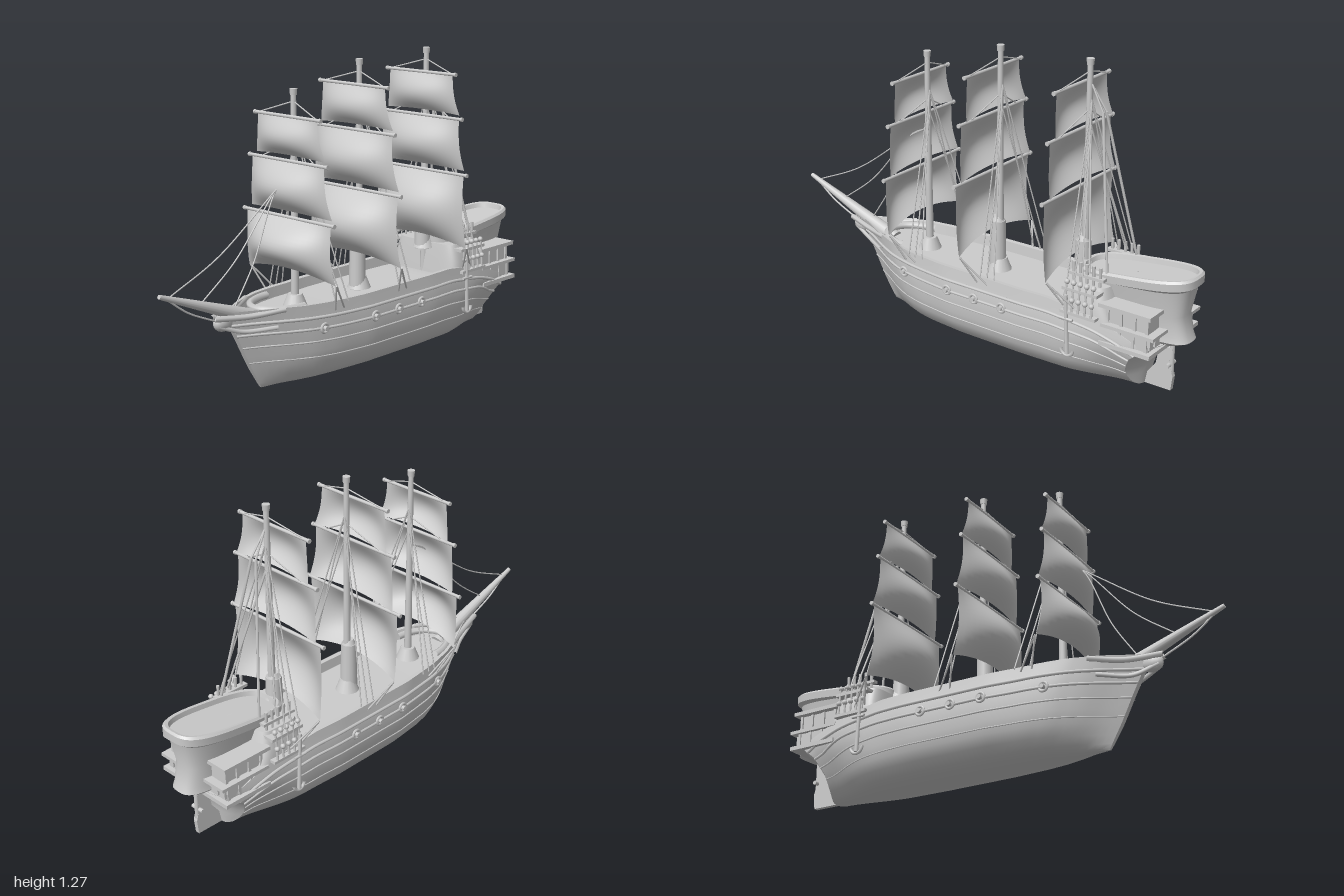
import * as THREE from 'three';
import { toCreasedNormals } from 'three/addons/utils/BufferGeometryUtils.js';

const mat = new THREE.MeshStandardMaterial({ color: 0xcccccc });
const thin = new THREE.MeshStandardMaterial({ color: 0xcccccc, side: THREE.DoubleSide });
const V = (x, y, z) => new THREE.Vector3(x, y, z);
const { lerp, smoothstep } = THREE.MathUtils;

// linear lookup in a [[t, value], ...] table
function look(table, t) {
  for (let i = 1; i < table.length; i++) {
    const [a, p] = table[i - 1], [b, q] = table[i];
    if (t <= b) return lerp(p, q, Math.max(0, (t - a) / (b - a)));
  }
  return table[table.length - 1][1];
}

function add(parent, name, geometry, material = mat) {
  const m = new THREE.Mesh(geometry, material);
  m.name = name;
  parent.add(m);
  return m;
}

// skin over rows of points; faces point along (column step x row step)
function skin(rows, crease) {
  const n = rows[0].length, index = [];
  for (let i = 0; i < rows.length - 1; i++)
    for (let j = 0; j < n - 1; j++) {
      const a = i * n + j, b = a + n;
      index.push(a, a + 1, b, b, a + 1, b + 1);
    }
  const g = new THREE.BufferGeometry().setFromPoints(rows.flat());
  g.setIndex(index);
  g.computeVertexNormals();
  return crease ? toCreasedNormals(g, crease) : g;
}

// straight tapered spar or rope
function rod(parent, name, a, b, r1, r2 = r1, sides = 10) {
  const m = add(parent, name, new THREE.CylinderGeometry(r2, r1, a.distanceTo(b), sides));
  m.position.copy(a).lerp(b, 0.5);
  m.quaternion.setFromUnitVectors(V(0, 1, 0), b.clone().sub(a).normalize());
  return m;
}
const rope = (p, a, b, r = 0.0028) => rod(p, 'rope', a, b, r, r, 5);

// box given by its limits
function box(parent, name, x0, x1, y0, y1, z0, z1) {
  const m = add(parent, name, new THREE.BoxGeometry(x1 - x0, y1 - y0, Math.abs(z1 - z0)));
  m.position.set((x0 + x1) / 2, (y0 + y1) / 2, (z0 + z1) / 2);
}

function curveTube(parent, name, pts, r, seg = 24) {
  add(parent, name, new THREE.TubeGeometry(new THREE.CatmullRomCurve3(pts), seg, r, 6));
}

// Hull shape rules: rake of the ends by height, beam and sheer by station
const STEM = [[0, -0.5], [0.1, -0.56], [0.2, -0.61], [0.35, -0.69]];
const STERN = [[0, 0.79], [0.1, 0.81], [0.17, 0.85], [0.22, 0.91]];
const BEAM = [[0, 0.012], [0.05, 0.05], [0.11, 0.105], [0.177, 0.152], [0.24, 0.176], [0.37, 0.2], [0.62, 0.205], [0.81, 0.19], [1, 0.17]];
const SHEER = [[0, 0.345], [0.1, 0.345], [0.3, 0.335], [0.7, 0.335], [0.82, 0.31], [0.9, 0.27], [1, 0.225]];
function hullPoint(s, w, h, side = 1) {
  const y = h * look(SHEER, s);
  const skeg = 1 - 0.5 * smoothstep(s, 0.75, 1) * Math.max(0, 1 - h * 1.15);
  const round = 0.045 * w * w * smoothstep(s, 0.85, 1);
  return V(lerp(look(STEM, y), look(STERN, y), s) - round, y, side * w * skeg * look(BEAM, s));
}

function buildHull(g) {
  const half = [[0, 0.87], [0.84, 0.87], [0.86, 1], [0.96, 1.005], [0.985, 0.88], [0.99, 0.86], [1.02, 0.74], [1.015, 0.58],
    [0.99, 0.42], [0.93, 0.27], [0.82, 0.15], [0.66, 0.06], [0.48, 0.015], [0.3, 0], [0, 0]];
  const ring = [...half.map(p => [...p, 1]), ...half.slice(0, -1).reverse().map(p => [...p, -1])];
  const station = (s, f = 1) => ring.map(([w, h, k]) => hullPoint(s, w * f, h, k));
  const rows = [station(0, 0)];
  for (let i = 0; i <= 44; i++) rows.push(station(i / 44));
  // rounded stern closing towards the centre line
  for (const f of [0.8, 0.6, 0.4, 0.2, 0]) rows.push(station(1, f));
  add(g, 'hull', skin(rows, 0.7), thin);
  for (const k of [1, -1]) {
    // wales along the planking
    for (const [w, h, r] of [[1.01, 0.84, 0.007], [1.025, 0.7, 0.006], [1.01, 0.54, 0.004], [0.96, 0.34, 0.003]]) {
      const pts = [];
      for (let i = 0; i <= 24; i++) pts.push(hullPoint(i / 24, w, h, k));
      curveTube(g, 'wale', pts, r, 60);
    }
    // round gun ports
    for (const x of [-0.31, -0.05, 0.09, 0.23]) {
      const p = hullPoint((x + 0.64) / 1.54, 1.03, 0.72, k);
      const port = new THREE.Group();
      port.name = 'gunPort';
      port.position.set(x, 0.238, p.z);
      add(port, 'portRing', new THREE.TorusGeometry(0.018, 0.006, 6, 16));
      rod(port, 'gunBarrel', V(0, 0, -0.01 * k), V(0, 0, 0.014 * k), 0.009);
      g.add(port);
    }
    // head rails meeting at the beak
    curveTube(g, 'headRail', [V(-0.74, 0.335, 0.012 * k), V(-0.6, 0.325, 0.055 * k), V(-0.47, 0.338, 0.115 * k)], 0.012);
    curveTube(g, 'lowerHeadRail', [V(-0.72, 0.3, 0.01 * k), V(-0.62, 0.265, 0.035 * k), V(-0.5, 0.27, 0.105 * k)], 0.009);
  }
  // forecastle coaming
  const arc = [];
  for (let i = 0; i <= 16; i++) {
    const a = Math.PI * (0.5 + i / 16);
    arc.push(V(-0.36 + 0.16 * Math.cos(a), 0.328, 0.11 * Math.sin(a)));
  }
  curveTube(g, 'forecastleCoaming', arc, 0.016, 32);
  // bowsprit, beak and stays
  rod(g, 'bowsprit', V(-0.5, 0.285, 0), V(-0.995, 0.475, 0), 0.034, 0.009, 14);
  const knob = add(g, 'beak', new THREE.SphereGeometry(0.035, 14, 10));
  knob.position.set(-0.69, 0.31, 0);
  knob.scale.set(1.3, 1, 0.75);
  curveTube(g, 'bobstay', [V(-0.95, 0.45, 0), V(-0.86, 0.385, 0), V(-0.72, 0.32, 0)], 0.004);
  // rudder with its iron fittings
  const s = new THREE.Shape([[0.77, 0], [0.905, 0], [0.912, 0.06], [0.895, 0.12], [0.905, 0.18], [0.85, 0.187], [0.835, 0.1], [0.79, 0.04]].map(p => new THREE.Vector2(...p)));
  add(g, 'rudder', new THREE.ExtrudeGeometry(s, { depth: 0.02, bevelEnabled: false })).position.z = -0.01;
  rod(g, 'rudderFitting', V(0.895, 0.11, -0.03), V(0.895, 0.11, 0.03), 0.009);
  rod(g, 'rudderPost', V(0.9, 0.05, 0), V(0.9, 0.2, 0), 0.01);
}

// rounded deckhouse from levels [y, xFront, xStern, halfWidth, slope]
function house(g, name, levels, power) {
  const pw = v => Math.sign(v) * Math.pow(Math.abs(v), power);
  const rows = levels.map(([y, x0, x1, w, slope]) => Array.from({ length: 49 }, (_, j) => {
    const a = j / 48 * Math.PI * 2, x = (x0 + x1) / 2 + (x1 - x0) / 2 * pw(Math.cos(a));
    return V(x, y + slope * (x - 0.66), -w * pw(Math.sin(a)));
  }));
  add(g, name, skin(rows, 0.6), thin);
}

function buildStern(g) {
  house(g, 'quarterdeck', [[0.25, 0.47, 0.74, 0.182, 0], [0.35, 0.48, 0.7, 0.178, 0], [0.42, 0.49, 0.68, 0.155, 0],
    [0.42, 0.58, 0.6, 0.001, 0]], 0.35);
  house(g, 'sternCabin', [[0.215, 0.7, 0.8, 0.001, 0], [0.215, 0.6, 0.945, 0.068, 0], [0.235, 0.58, 0.985, 0.082, 0],
    [0.26, 0.56, 0.975, 0.08, 0], [0.34, 0.53, 0.957, 0.09, 0], [0.43, 0.5, 0.98, 0.107, 0.08], [0.434, 0.49, 1, 0.118, 0.11],
    [0.465, 0.49, 1, 0.12, 0.11], [0.474, 0.5, 0.992, 0.112, 0.11], [0.472, 0.515, 0.98, 0.1, 0.11],
    [0.452, 0.52, 0.975, 0.096, 0.11], [0.452, 0.7, 0.75, 0.001, 0.11]], 0.65);
  box(g, 'sternLedge', 0.68, 0.905, 0.205, 0.222, -0.19, 0.19);
  for (const k of [1, -1]) {
    // two-storey quarter gallery
    box(g, 'galleryRoof', 0.67, 0.9, 0.36, 0.376, 0.07 * k, 0.182 * k);
    box(g, 'upperGallery', 0.69, 0.88, 0.29, 0.36, 0.07 * k, 0.155 * k);
    box(g, 'galleryLedge', 0.68, 0.915, 0.28, 0.294, 0.07 * k, 0.182 * k);
    box(g, 'lowerGallery', 0.7, 0.885, 0.222, 0.28, 0.07 * k, 0.166 * k);
    for (const x of [0.7, 0.76, 0.82, 0.875])
      for (const [y0, y1, z] of [[0.294, 0.36, 0.162], [0.222, 0.28, 0.171]]) box(g, 'galleryPost', x - 0.006, x + 0.006, y0, y1, 0.1 * k, z * k);
    for (const z of [0.115, 0.155]) box(g, 'sternWindow', 0.88, 0.893, 0.232, 0.272, (z - 0.014) * k, (z + 0.01) * k);
    // mizzen channel with deadeyes, struts and pins
    box(g, 'channel', 0.51, 0.67, 0.395, 0.408, 0.14 * k, 0.195 * k);
    box(g, 'lowerChannel', 0.51, 0.67, 0.3, 0.312, 0.16 * k, 0.205 * k);
    box(g, 'pinRail', 0.51, 0.67, 0.445, 0.457, 0.125 * k, 0.15 * k);
    for (let i = 0; i < 5; i++) {
      const x = 0.53 + i * 0.03;
      rod(g, 'pin', V(x, 0.41, 0.14 * k), V(x, 0.5, 0.14 * k), 0.005, 0.007, 6);
      rod(g, 'strut', V(x, 0.305, 0.2 * k), V(x, 0.43, 0.19 * k), 0.005, 0.004, 6);
      for (const [y, z] of [[0.36, 0.198], [0.43, 0.187]]) add(g, 'deadeye', new THREE.SphereGeometry(0.011, 8, 6)).position.set(x, y, z * k);
    }
    // anchor hung on the side
    rod(g, 'anchorShank', V(0.545, 0.13, 0.203 * k), V(0.535, 0.38, 0.204 * k), 0.009, 0.007);
    const arms = add(g, 'anchorArms', new THREE.TorusGeometry(0.028, 0.007, 6, 12, Math.PI));
    arms.position.set(0.545, 0.15, 0.203 * k);
    arms.rotation.z = Math.PI;
    rod(g, 'anchorStock', V(0.51, 0.28, 0.206 * k), V(0.57, 0.28, 0.206 * k), 0.006);
  }
}

// one billowing square sail below its yard
function sail(g, x, top, foot, w0, w1, bulge, arch) {
  const rows = [];
  for (let i = 0; i <= 14; i++) {
    const v = i / 14, row = [];
    for (let j = 0; j <= 20; j++) {
      const u = 1 - j / 10, mid = 1 - u * u;
      row.push(V(x + 0.02 * v - bulge * Math.sin(Math.PI * 0.9 * Math.pow(v, 1.1)) * (0.15 + 0.85 * mid),
        lerp(top, foot + arch * mid, v), u * (lerp(w0, w1, v) - 0.006 * Math.sin(Math.PI * v))));
    }
    rows.push(row);
  }
  add(g, 'sail', skin(rows), thin);
  rod(g, 'yard', V(x, top, -w0 - 0.018), V(x, top, w0 + 0.018), 0.007);
  for (const k of [1, -1]) rod(g, 'yardEnd', V(x, top, k * (w0 + 0.01)), V(x, top, k * (w0 + 0.02)), 0.009);
}

function buildMast(root, name, x, base, top, barrel, sails) {
  const g = new THREE.Group();
  g.name = name;
  rod(g, 'mast', V(x, 0.28, 0), V(x, top, 0), 0.017, 0.011, 12);
  rod(g, 'mastCap', V(x, top - 0.025, 0), V(x, top, 0), 0.014, 0.016, 12);
  if (barrel) {
    rod(g, 'mastBarrel', V(x - 0.01, base - 0.02, 0), V(x - 0.01, barrel, 0), 0.036, 0.032, 16);
    rod(g, 'barrelCap', V(x - 0.01, barrel, 0), V(x - 0.01, barrel + 0.02, 0), 0.028, 0.02, 16);
  }
  add(g, 'mastCollar', new THREE.CylinderGeometry(0.03, 0.05, 0.05, 16)).position.set(x, base + 0.01, 0);
  sails.forEach((s, i) => sail(g, x - 0.035, ...s, i ? 0.01 : 0.035));
  const [low, mid, high] = sails;
  for (const k of [1, -1]) {
    rope(g, V(x, top - 0.05, 0), V(x - 0.035, high[0], k * high[2]));
    rope(g, V(x, high[0] - 0.1, 0), V(x - 0.035, mid[0], k * mid[2] * 0.75));
    // shrouds
    for (let i = 0; i < 3; i++)
      rope(g, V(x + 0.01, high[0] - 0.06 - 0.1 * (i % 2), 0), V(x + 0.04 + i * 0.035, base + 0.02, k * 0.19), 0.003);
    // sheets from the foot corners to the rail
    for (const dx of [0.03, 0.08]) rope(g, V(x - 0.015, low[1], k * low[3]), V(x + dx, Math.min(base, 0.33), k * 0.195), 0.004);
  }
  root.add(g);
}

export function createModel() {
  const root = new THREE.Group();
  root.name = 'sailingShip';
  const hull = new THREE.Group(), stern = new THREE.Group(), rig = new THREE.Group();
  hull.name = 'hullAndBow'; stern.name = 'sterncastle'; rig.name = 'stays';
  root.add(hull, stern, rig);
  buildHull(hull);
  buildStern(stern);
  // sails: yard height, foot height, half widths at yard and foot, bulge
  buildMast(root, 'foreMast', -0.305, 0.31, 1.17, 0, [[0.665, 0.425, 0.235, 0.245, 0.1], [0.89, 0.68, 0.2, 0.225, 0.075], [1.065, 0.902, 0.165, 0.192, 0.052]]);
  buildMast(root, 'mainMast', 0.07, 0.31, 1.255, 0.51, [[0.725, 0.425, 0.245, 0.25, 0.1], [0.97, 0.738, 0.21, 0.235, 0.075], [1.155, 0.982, 0.172, 0.2, 0.052]]);
  buildMast(root, 'mizzenMast', 0.49, 0.41, 1.27, 0.53, [[0.75, 0.43, 0.243, 0.25, 0.092], [0.985, 0.765, 0.212, 0.232, 0.068], [1.17, 0.998, 0.174, 0.2, 0.05]]);
  // sagging forestays and straight backstays
  for (const [x, y] of [[-0.95, 0.462], [-0.8, 0.405], [-0.63, 0.355]])
    curveTube(rig, 'forestay', [V(-0.32, 0.83, 0), V(-0.4, 0.785, 0), V(lerp(-0.4, x, 0.55), lerp(0.785, y, 0.55) - 0.035, 0), V(x, y, 0)], 0.0028);
  for (const k of [1, -1]) {
    rope(rig, V(0.5, 1.17, 0), V(0.56, 1.07, 0.012 * k), 0.004);
    rope(rig, V(0.56, 1.07, 0.012 * k), V(0.66, 0.47, 0.11 * k), 0.006);
    rope(rig, V(0.5, 1.0, 0), V(0.6, 0.47, 0.14 * k), 0.004);
  }
  return root;
}
